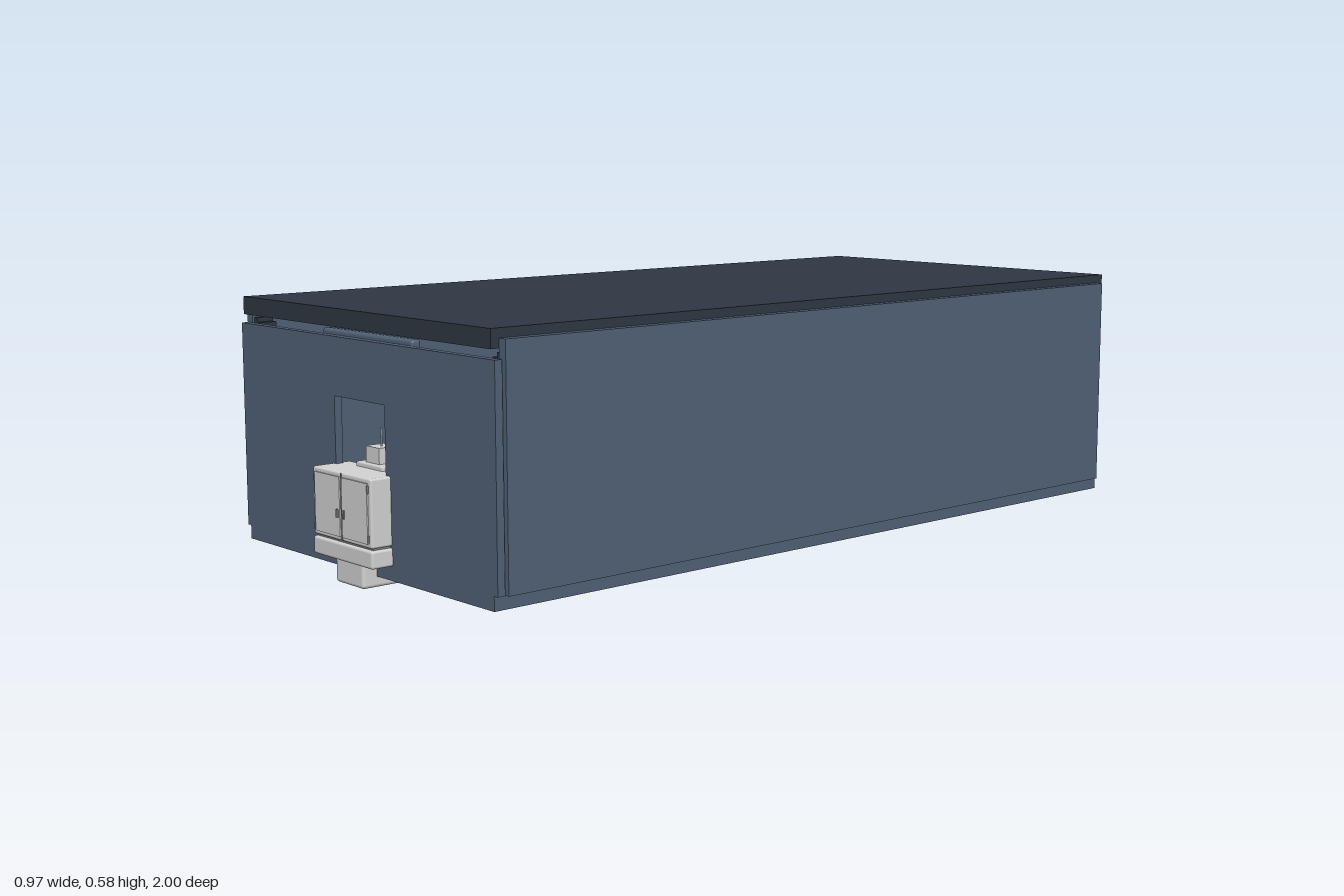
import * as THREE from 'three';
import { RoundedBoxGeometry } from 'three/addons/geometries/RoundedBoxGeometry.js';

export function createModel() {
  const group = new THREE.Group();
  group.name = 'modularShelter';
  const mat = (name, color) => {
    const m = new THREE.MeshStandardMaterial({ color });
    m.name = name;
    return m;
  };
  const blue = mat('slateBlue', 0x516176);
  const dark = mat('darkSlate', 0x2e3742);
  const pale = mat('paleGrey', 0xd2d2d2);
  const seam = mat('seamGrey', 0x85878a);

  const add = (name, geometry, material, x = 0, y = 0, z = 0, parent = group) => {
    const mesh = new THREE.Mesh(geometry, material);
    mesh.name = name;
    mesh.position.set(x, y, z);
    parent.add(mesh);
    return mesh;
  };
  // Box given by its minimum and maximum on each axis
  const box = (name, material, [x0, x1], [y0, y1], [z0, z1], parent = group, radius = 0) => {
    const s = [x1 - x0, y1 - y0, z1 - z0];
    const geo = radius ? new RoundedBoxGeometry(...s, 2, radius) : new THREE.BoxGeometry(...s);
    return add(name, geo, material, (x0 + x1) / 2, (y0 + y1) / 2, (z0 + z1) / 2, parent);
  };

  // Floor and roof slabs
  box('floor', blue, [-0.463, 0.463], [0.024, 0.056], [-0.995, 0.945]);
  box('roof', dark, [-0.465, 0.463], [0.54, 0.58], [-1, 0.945]);

  // Side walls and the small corner brackets at their tops
  for (const s of [-1, 1]) {
    const side = s < 0 ? 'right' : 'left';
    const span = (a, b) => (s < 0 ? [-b, -a] : [a, b]);
    box(side + 'Wall', blue, span(0.463, 0.484), [0.055, 0.56], [-0.973, 0.925]);
    for (const z of [-0.95, 0.9]) {
      box(side + 'LowBracket', dark, span(0.435, 0.463), [0.505, 0.521], [z - 0.02, z + 0.02]);
      box(side + 'HighBracket', dark, span(0.45, 0.463), [0.521, 0.531], [z - 0.02, z + 0.02]);
    }
  }

  // Front wall with a service opening
  const wall = new THREE.Shape();
  wall.moveTo(-0.475, 0.055);
  wall.lineTo(0.475, 0.055);
  wall.lineTo(0.475, 0.52);
  wall.lineTo(-0.475, 0.52);
  wall.closePath();
  const hole = new THREE.Path();
  hole.moveTo(-0.096, 0.1);
  hole.lineTo(-0.096, 0.392);
  hole.lineTo(0.094, 0.392);
  hole.lineTo(0.094, 0.1);
  hole.closePath();
  wall.holes.push(hole);
  add('frontWall', new THREE.ExtrudeGeometry(wall, { depth: 0.018, bevelEnabled: false }), blue, 0, 0, 0.927);

  // Rail inside the front wall, showing above it
  box('innerRail', blue, [-0.17, 0.168], [0.49, 0.532], [0.9, 0.925], group, 0.008);

  // Rear wall with a raised panel and a dark inner wainscot
  box('rearWall', blue, [-0.463, 0.463], [0.055, 0.52], [-0.997, -0.984]);
  box('rearPanel', blue, [-0.445, 0.445], [0.07, 0.505], [-1, -0.997]);
  box('innerWainscot', dark, [-0.44, 0.44], [0.056, 0.35], [-0.984, -0.978]);

  // Service cabinet on the front wall
  const cabinet = new THREE.Group();
  cabinet.name = 'serviceCabinet';
  group.add(cabinet);
  box('cabinetBody', pale, [-0.111, 0.111], [0.098, 0.245], [0.9, 0.994], cabinet, 0.005);
  box('cabinetGroove', seam, [-0.106, 0.106], [0.09, 0.1], [0.9, 0.988], cabinet);
  box('cabinetPlinth', pale, [-0.113, 0.113], [0.055, 0.094], [0.9, 0.996], cabinet, 0.006);
  box('cabinetFoot', pale, [-0.053, 0.053], [0, 0.058], [0.88, 0.98], cabinet, 0.008);
  box('doorSeam', seam, [-0.0015, 0.0015], [0.1, 0.243], [0.99, 0.9955], cabinet);
  for (const s of [-1, 1]) {
    const cx = s * 0.052;
    box('cabinetDoor', pale, [cx - 0.048, cx + 0.048], [0.107, 0.235], [0.992, 0.997], cabinet);
    box('doorHandle', seam, [s * 0.012 - 0.003, s * 0.012 + 0.003], [0.148, 0.166], [0.996, 1], cabinet);
    for (const y of [0.118, 0.222]) {
      box('doorHinge', seam, [s * 0.101 - 0.002, s * 0.101 + 0.002], [y - 0.008, y + 0.008], [0.993, 0.998], cabinet);
    }
  }

  // Stepped cap and mast behind the cabinet top
  box('cabinetCap', pale, [-0.05, 0.05], [0.24, 0.255], [0.86, 0.925], cabinet, 0.004);
  box('capHousing', pale, [-0.025, 0.025], [0.25, 0.29], [0.87, 0.915], cabinet);
  add('mast', new THREE.CylinderGeometry(0.002, 0.002, 0.045, 8), pale, 0, 0.308, 0.892, cabinet);
  return group;
}
